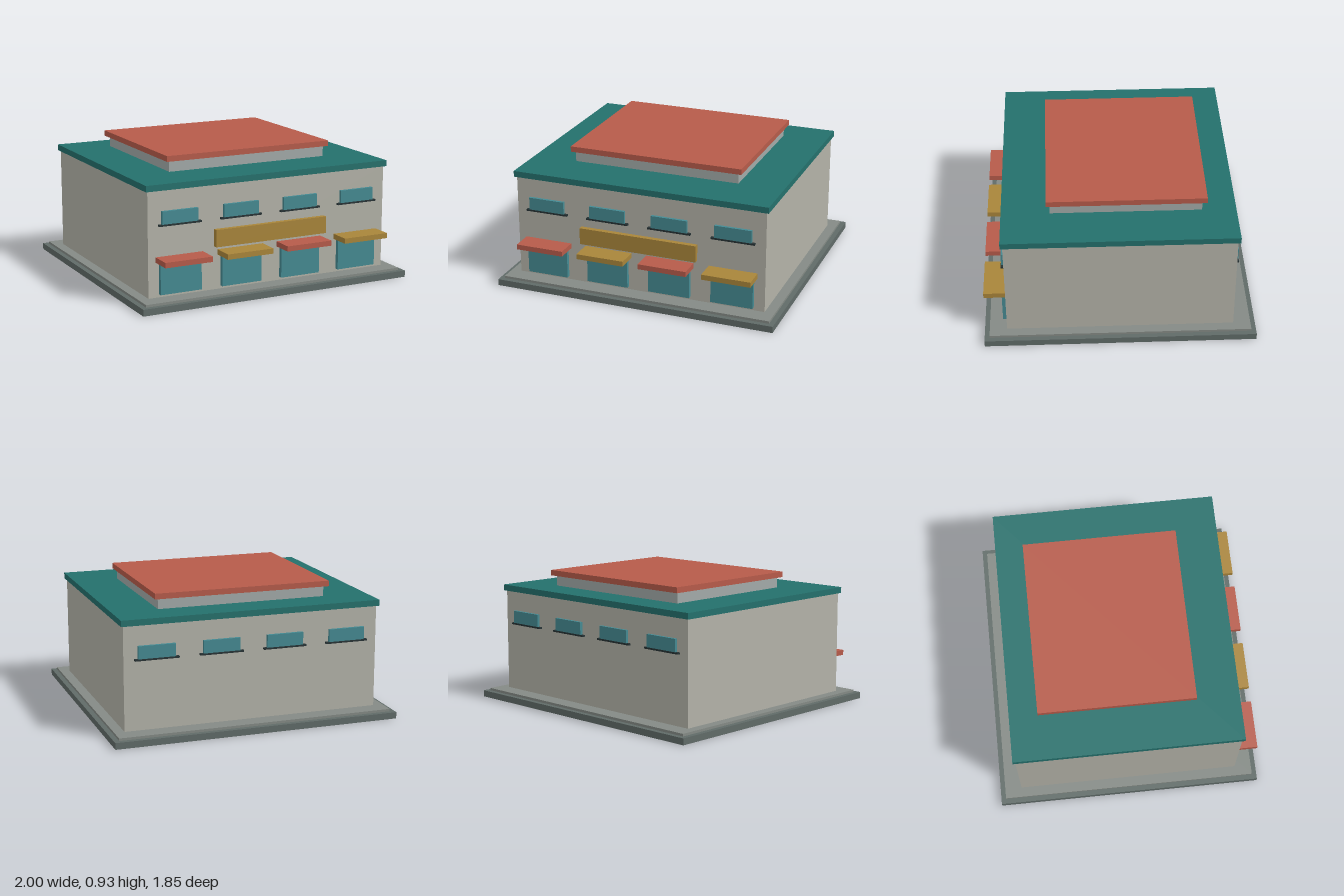
import * as THREE from 'three';

const mat = (color) => new THREE.MeshStandardMaterial({ color });

export function createModel() {
  const model = new THREE.Group();
  const pavement = mat(0x606b68), step = mat(0x848a85), wall = mat(0xb3b2a8);
  const teal = mat(0x24706c), red = mat(0xb65b4a), gold = mat(0xa9853a);
  const glass = mat(0x458a92), dark = mat(0x263234), grey = mat(0xa2aaa8);

  // Box given by its extents along each axis
  function block(name, material, [x0, x1], [y0, y1], [z0, z1], parent = model) {
    const mesh = new THREE.Mesh(new THREE.BoxGeometry(x1 - x0, y1 - y0, z1 - z0), material);
    mesh.position.set((x0 + x1) / 2, (y0 + y1) / 2, (z0 + z1) / 2);
    mesh.name = name;
    parent.add(mesh);
    return mesh;
  }
  const around = (centre, width) => [centre - width / 2, centre + width / 2];

  // Ground slab, step and main walls
  block('baseSlab', pavement, [-1, 1], [0, 0.045], [-0.927, 0.927]);
  block('plinth', step, [-0.965, 0.965], [0.045, 0.062], [-0.893, 0.893]);
  block('walls', wall, [-0.896, 0.896], [0.062, 0.774], [-0.775, 0.775]);

  // Flat roof with the raised rooftop block and its cap
  block('roofSlab', teal, [-0.912, 0.912], [0.774, 0.816], [-0.791, 0.791]);
  block('rooftopBlock', grey, [-0.595, 0.595], [0.816, 0.89], [-0.56, 0.462]);
  block('rooftopCap', red, [-0.622, 0.622], [0.89, 0.929], [-0.592, 0.488]);

  // Blank sign board over the shops
  block('signBoard', gold, [-0.42, 0.42], [0.357, 0.474], [0.765, 0.809]);

  [-0.672, -0.224, 0.224, 0.672].forEach((x, i) => {
    // Shop front with its awning
    const shop = new THREE.Group();
    shop.name = 'shopFront';
    block('shopGlass', glass, around(x, 0.296), [0.083, 0.3], [0.765, 0.803], shop);
    block('awning', i % 2 ? gold : red, around(x, 0.34), [0.298, 0.334], [0.765, 0.925], shop);
    model.add(shop);

    // Upper windows on the front and back walls
    for (const side of [1, -1]) {
      const upper = new THREE.Group();
      upper.name = side > 0 ? 'frontWindow' : 'backWindow';
      const depth = (d) => (side > 0 ? [0.765, d] : [-d, -0.765]);
      block('windowGlass', glass, around(x, 0.256), [0.55, 0.637], depth(0.795), upper);
      block('windowSill', dark, around(x, 0.304), [0.538, 0.55], depth(0.797), upper);
      model.add(upper);
    }
  });

  return model;
}
